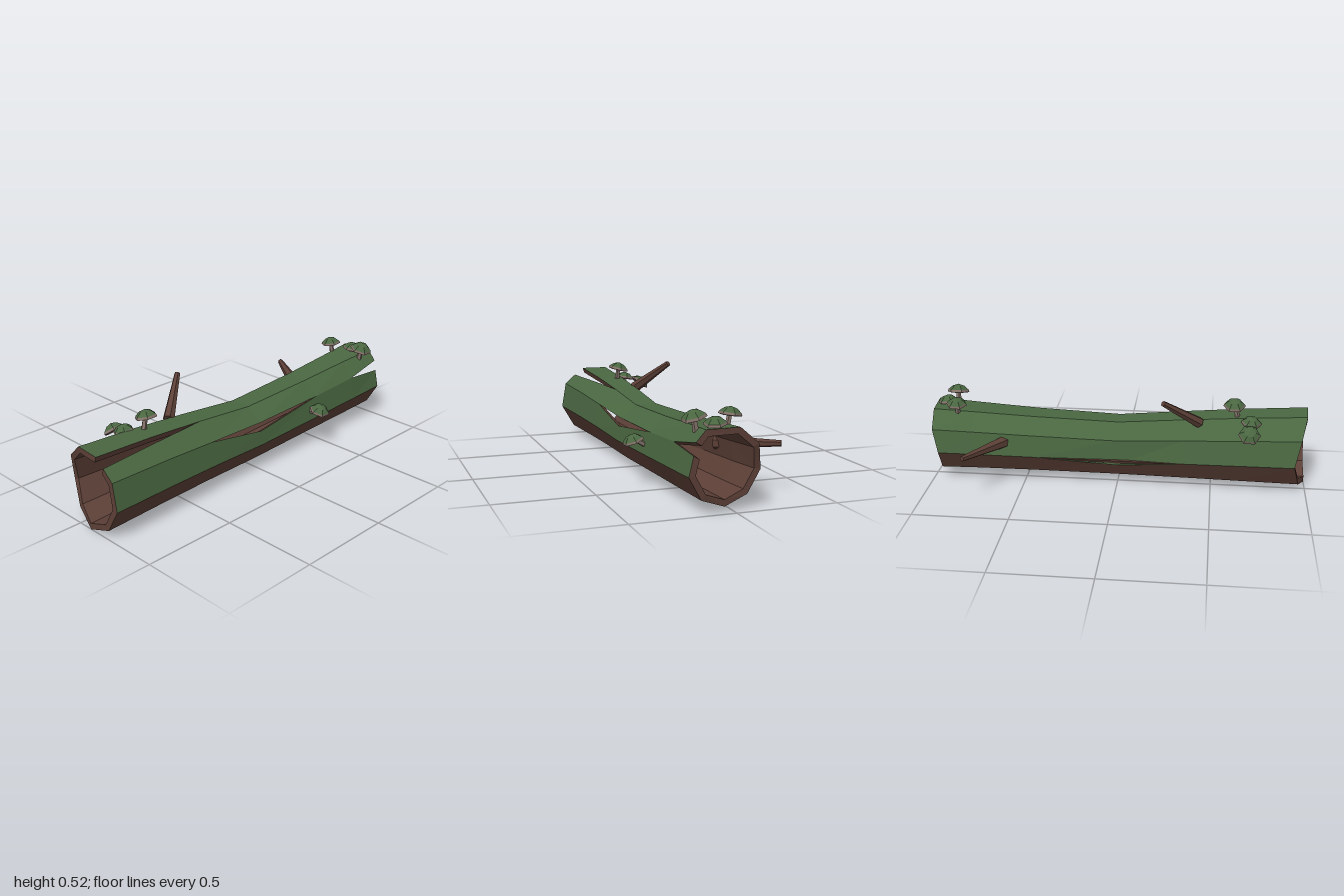
import * as THREE from 'three';

const mat = (color) => new THREE.MeshStandardMaterial({ color, flatShading: true });
const moss = mat(0x4a6741), bark = mat(0x5d4037), stemMat = mat(0x84726a);

const SIDES = 9, WALL = 0.032;
// Stations along the log: z, centre x, centre y, radius
const rings = [
  [1, 0.083, 0.207, 0.209], [0.65, 0.078, 0.2, 0.196], [0.35, 0.077, 0.19, 0.182],
  [0, 0.08, 0.175, 0.165], [-0.45, 0.068, 0.188, 0.17], [-0.77, 0.057, 0.2, 0.178], [-1, 0.047, 0.208, 0.184],
];
// How far each end is cut back, per corner (from the bottom, counter-clockwise)
const frontCut = [0, 0, 0, 0, 0, 0.01, 0.04, 0.07, 0.04];
const backCut = [0.03, 0.01, 0, 0, 0, 0.01, 0.02, 0.05, 0.05];
// Splits along an edge: corner, strength per station, shift of lower and upper lip
const splits = [
  { v: 4, w: [1, 0.5, 0, 0, 0, 0, 0], lo: [0.05, -0.04], hi: [0, 0] },
  { v: 3, w: [0, 0, 0, 1, 0, 0, 0], lo: [0.01, -0.035], hi: [0, 0.008] },
  { v: 3, w: [0, 0, 0, 0, 0, 0, 1], lo: [0, -0.03], hi: [-0.01, 0.028] },
  { v: 7, w: [0, 0, 0, 1, 0, 0, 0], lo: [0.01, -0.025], hi: [0, 0.004] },
  { v: 4, w: [0, 0, 0, 0, 0.3, 0.6, 1], lo: [0.04, 0], hi: [0.04, 0], closed: true },
];

// One corner of the shell; upper picks the lip on the counter-clockwise side
function corner(v, k, upper, inner) {
  const i = v % SIDES, [z, cx, cy, r] = rings[k];
  const a = (-90 + (360 / SIDES) * i) * Math.PI / 180, rad = r - (inner ? WALL : 0);
  let x = cx + Math.cos(a) * rad, y = cy + Math.sin(a) * rad;
  for (const s of splits) if (s.v === i) {
    const d = upper ? s.hi : s.lo;
    x += d[0] * s.w[k];
    y += d[1] * s.w[k];
  }
  const cut = k === 0 ? -frontCut[i] : k === rings.length - 1 ? backCut[i] : 0;
  return [x, y, z + cut];
}

function meshFromQuads(quads, material, name) {
  const pos = quads.flatMap(([a, b, c, d]) => [...a, ...b, ...c, ...a, ...c, ...d]);
  const g = new THREE.BufferGeometry();
  g.setAttribute('position', new THREE.Float32BufferAttribute(pos, 3));
  g.computeVertexNormals();
  const m = new THREE.Mesh(g, material);
  m.name = name;
  return m;
}

function buildLog() {
  const green = [], brown = [], last = rings.length - 1;
  const isOpen = (v, k) => splits.some((s) => !s.closed && s.v === v % SIDES && s.w[k] + s.w[k + 1] > 0);
  for (let i = 0; i < SIDES; i++) {
    const A = (k, inner) => corner(i, k, true, inner), B = (k, inner) => corner(i + 1, k, false, inner);
    for (let k = 0; k < last; k++) {
      // Outer skin: moss above, bark below; bare wood inside
      (i >= 2 && i <= 6 ? green : brown).push([A(k), A(k + 1), B(k + 1), B(k)]);
      brown.push([A(k, true), B(k, true), B(k + 1, true), A(k + 1, true)]);
      // Broken faces along the splits
      if (isOpen(i, k)) brown.push([A(k), A(k, true), A(k + 1, true), A(k + 1)]);
      if (isOpen(i + 1, k)) brown.push([B(k), B(k + 1), B(k + 1, true), B(k, true)]);
    }
    // End rims
    brown.push([A(0), B(0), B(0, true), A(0, true)]);
    brown.push([A(last), A(last, true), B(last, true), B(last)]);
  }
  const log = new THREE.Group();
  log.name = 'hollowLog';
  log.add(meshFromQuads(green, moss, 'mossCover'), meshFromQuads(brown, bark, 'barkAndWood'));
  return log;
}

const UP = new THREE.Vector3(0, 1, 0);
// Tapered rod between two points
function rod(from, to, r0, r1, sides, material, name) {
  const a = new THREE.Vector3(...from), b = new THREE.Vector3(...to), dir = b.clone().sub(a);
  const m = new THREE.Mesh(new THREE.CylinderGeometry(r1, r0, dir.length(), sides), material);
  m.position.copy(a).add(b).multiplyScalar(0.5);
  m.quaternion.setFromUnitVectors(UP, dir.normalize());
  m.name = name;
  return m;
}

const lathe = (pts) => new THREE.LatheGeometry(pts.map((p) => new THREE.Vector2(...p)), 6);
const capTop = lathe([[0.054, -0.006], [0.03, 0.014], [0, 0.023]]);
const capUnder = lathe([[0, -0.008], [0.048, -0.021], [0.058, -0.018], [0.054, -0.006]]);

// Mushroom: root on the log, cap centre, direction the cap faces, size
function mushroom(root, top, facing, size) {
  const g = new THREE.Group(), cap = new THREE.Group();
  g.name = 'mushroom';
  cap.name = 'cap';
  const crown = new THREE.Mesh(capTop, moss), gills = new THREE.Mesh(capUnder, stemMat);
  crown.name = 'crown';
  gills.name = 'gills';
  cap.add(crown, gills);
  cap.position.set(...top);
  cap.scale.setScalar(size);
  cap.quaternion.setFromUnitVectors(UP, new THREE.Vector3(...facing).normalize());
  g.add(rod(root, top, 0.015 * size, 0.011 * size, 5, stemMat, 'stem'), cap);
  return g;
}

export function createModel() {
  const model = new THREE.Group();
  model.name = 'fallenLog';
  model.add(buildLog());

  // Broken branch stubs
  model.add(rod([-0.06, 0.232, -0.59], [-0.33, 0.241, -0.765], 0.035, 0.015, 6, bark, 'sideBranch'));
  model.add(rod([0.0, 0.355, 0.43], [-0.135, 0.508, 0.245], 0.03, 0.015, 6, bark, 'topBranch'));

  // Mushroom clusters
  [
    [[-0.06, 0.31, 0.68], [-0.12, 0.355, 0.69], [-0.6, 0.8, 0.05], 1],
    [[-0.02, 0.35, 0.69], [-0.025, 0.387, 0.7], [-0.2, 1, 0.1], 0.92],
    [[0.045, 0.37, 0.63], [0.04, 0.455, 0.61], [-0.25, 1, 0], 1],
    [[0.22, 0.2, -0.4], [0.288, 0.238, -0.405], [0.35, 1, 0], 0.95],
    [[-0.01, 0.36, -0.86], [-0.025, 0.43, -0.86], [-0.15, 1, 0.05], 0.95],
    [[0.08, 0.36, -0.92], [0.08, 0.405, -0.935], [0.1, 1, -0.1], 0.95],
    [[0.155, 0.355, -0.9], [0.17, 0.432, -0.9], [0.28, 1, 0], 1.05],
  ].forEach((m) => model.add(mushroom(...m)));
  return model;
}
